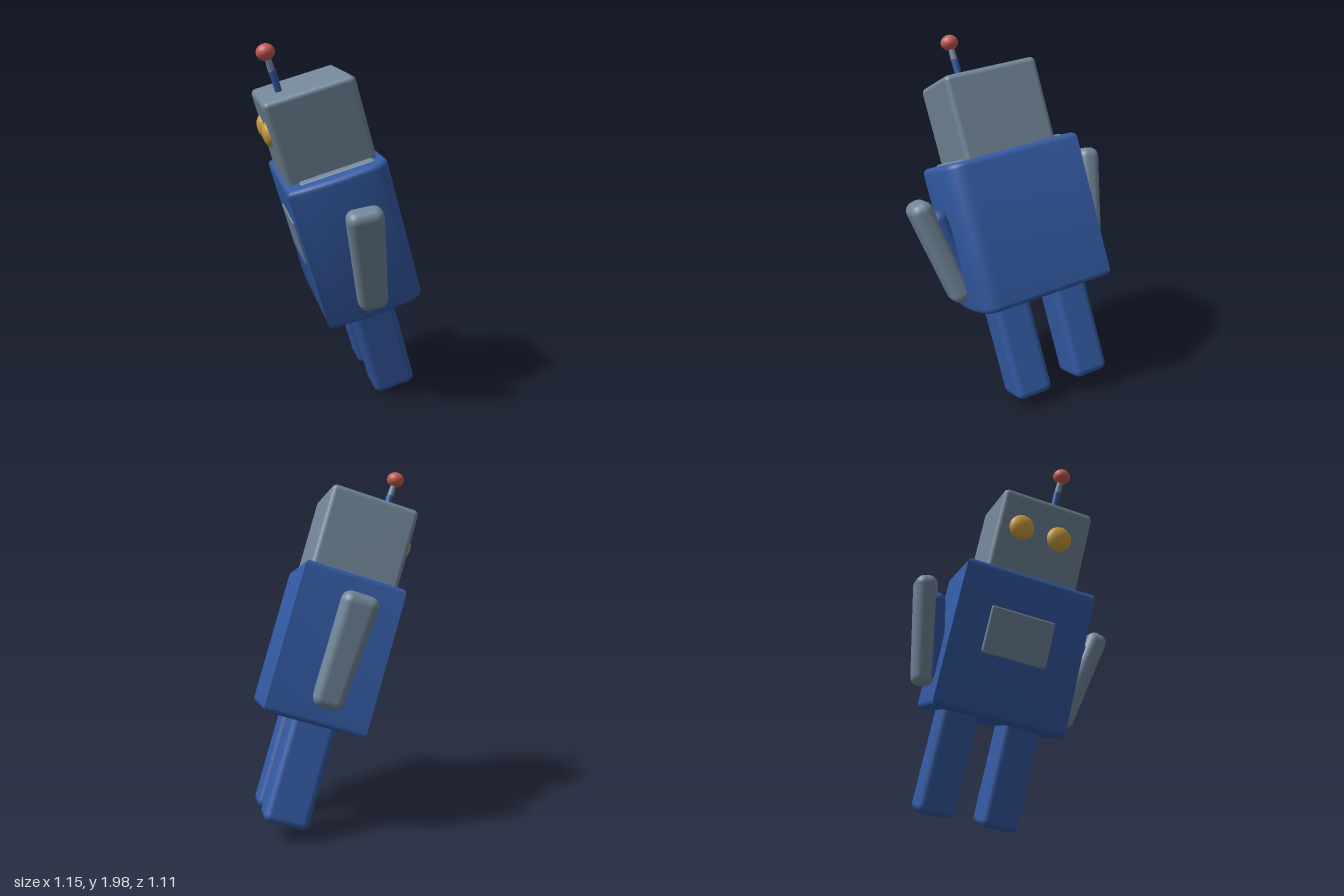
import * as THREE from 'three';
import { RoundedBoxGeometry } from 'three/addons/geometries/RoundedBoxGeometry.js';
import { toCreasedNormals } from 'three/addons/utils/BufferGeometryUtils.js';

const material = (name, color) => {
  const m = new THREE.MeshStandardMaterial({ color });
  m.name = name;
  return m;
};

// Torso block: plan outline with a bulging left side and soft back left corner
function torsoGeometry(height, bevel) {
  const w = 0.375 - bevel, d = 0.28 - bevel;
  const plan = new THREE.Shape();
  plan.moveTo(-w, -d);
  plan.lineTo(w, -d);
  plan.quadraticCurveTo(w + 0.045, -0.03, w + 0.012, d - 0.06);
  plan.quadraticCurveTo(w, d, w - 0.07, d);
  plan.lineTo(-w, d);
  plan.closePath();
  const geometry = new THREE.ExtrudeGeometry(plan, {
    depth: height - 2 * bevel, bevelThickness: bevel, bevelSize: bevel, bevelSegments: 4, curveSegments: 10,
  });
  geometry.rotateX(-Math.PI / 2);
  geometry.translate(0, bevel, 0);
  return toCreasedNormals(geometry, 0.6);
}

// Rounded arm, narrowing towards the hand
function armGeometry(w, h, d, r) {
  const geometry = new RoundedBoxGeometry(w, h, d, 5, r);
  const p = geometry.attributes.position;
  for (let i = 0; i < p.count; i++) p.setZ(i, p.getZ(i) * (0.9 + 0.2 * p.getY(i) / h));
  return geometry;
}

export function createModel() {
  const blue = material('blue paint', 0x335aa3);
  const grey = material('grey metal', 0x718598);
  const red = material('red bulb', 0xc65a55);
  const yellow = material('yellow eyes', 0xcd9f3f);

  // Upright toy, then leaned forward and turned as a whole
  const robot = new THREE.Group();
  robot.name = 'robot';
  robot.rotation.set(0.34, -0.45, 0);
  robot.position.set(0.005, 0.122, -0.349);

  const add = (name, geometry, mat, x, y, z) => {
    const mesh = new THREE.Mesh(geometry, mat);
    mesh.name = name;
    mesh.position.set(x, y, z);
    robot.add(mesh);
    return mesh;
  };
  const box = (name, mat, [w, h, d], r, [x, y, z]) =>
    add(name, new RoundedBoxGeometry(w, h, d, 4, r), mat, x, y, z);

  // Torso, collar and head
  add('torso', torsoGeometry(0.82, 0.03), blue, 0.005, 0.515, 0);
  box('chestPanel', grey, [0.37, 0.265, 0.05], 0.012, [0, 0.98, 0.264]);
  box('collar', grey, [0.64, 0.05, 0.42], 0.02, [0, 1.318, -0.01]);
  box('head', grey, [0.53, 0.485, 0.5], 0.03, [0.002, 1.542, 0.008]);

  // Legs
  box('leftLeg', blue, [0.215, 0.62, 0.245], 0.04, [0.178, 0.265, 0.006]);
  box('rightLeg', blue, [0.21, 0.62, 0.25], 0.04, [-0.185, 0.265, 0.012]);

  // Arms, flared outwards at the top, with blue webs joining them to the torso
  for (const [side, s, y, z, lean] of [['left', 1, 0.885, -0.015, -0.12], ['right', -1, 0.92, 0.02, 0]]) {
    const arm = add(side + 'Arm', armGeometry(0.125, 0.615, 0.2, 0.052), grey, s * 0.476, y, z);
    const web = box(side + 'ArmWeb', blue, [0.1, 0.5, 0.16], 0.045, [s * 0.41, y - 0.02, z]);
    for (const part of [arm, web]) part.rotation.set(lean, 0, -0.22 * s);
  }

  // Bulging eyes
  for (const [name, x] of [['leftEye', 0.1], ['rightEye', -0.122]]) {
    add(name, new THREE.SphereGeometry(1, 24, 16), yellow, x, 1.587, 0.25).scale.set(0.073, 0.072, 0.042);
  }

  // Antenna with a bulb on top
  add('antennaBase', new THREE.CylinderGeometry(0.021, 0.018, 0.13, 16), blue, 0.06, 1.835, 0.137);
  add('antennaTip', new THREE.CylinderGeometry(0.016, 0.02, 0.09, 16), grey, 0.061, 1.94, 0.14);
  add('antennaBulb', new THREE.SphereGeometry(0.05, 24, 16), red, 0.062, 1.998, 0.143).scale.y = 0.88;

  const group = new THREE.Group();
  group.name = 'toyRobot';
  group.add(robot);
  return group;
}
